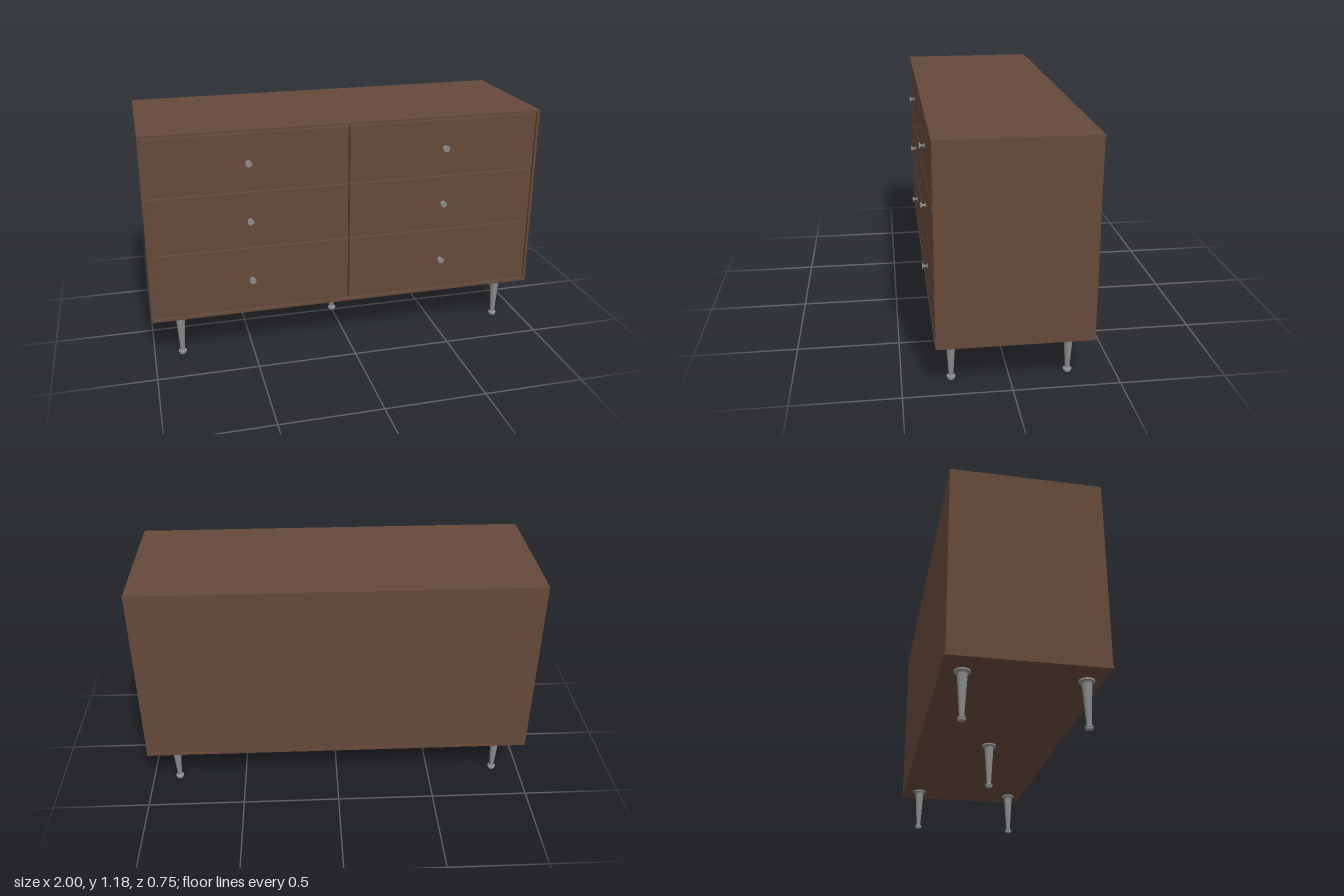
import * as THREE from 'three';

export function createModel() {
  const model = new THREE.Group();
  const wood = new THREE.MeshStandardMaterial({ name: 'walnut brown', color: 0x654a3a });
  const metal = new THREE.MeshStandardMaterial({ name: 'metal grey', color: 0x8a8c8c });

  // Box given by its minimum and maximum corners
  function panel(name, [x0, y0, z0], [x1, y1, z1]) {
    const mesh = new THREE.Mesh(new THREE.BoxGeometry(x1 - x0, y1 - y0, z1 - z0), wood);
    mesh.name = name;
    mesh.position.set((x0 + x1) / 2, (y0 + y1) / 2, (z0 + z1) / 2);
    model.add(mesh);
  }

  // Turned part from [radius, height] pairs; repeated points keep creases sharp
  function turned(points) {
    const pts = [];
    points.forEach(([r, y], i) => {
      pts.push(new THREE.Vector2(r, y));
      if (i > 0 && i < points.length - 1) pts.push(new THREE.Vector2(r, y));
    });
    return new THREE.LatheGeometry(pts, 24);
  }

  // Case
  const bottom = 0.23, top = 1.183, back = -0.375, front = 0.348, t = 0.012;
  panel('topPanel', [-1, top - t, back], [1, top, front]);
  panel('bottomPanel', [-1, bottom, back], [1, bottom + t, front]);
  for (const s of [-1, 1]) {
    const xs = [s, s * (1 - t)].sort((a, b) => a - b);
    panel(s > 0 ? 'leftSide' : 'rightSide',
      [xs[0], bottom + t, back + 0.003], [xs[1], top - t, front - 0.001]);
  }
  panel('backPanel', [-1 + t, bottom + t, back + 0.003], [1 - t, top - t, back + 0.015]);
  // Inner frame seen as the recess behind the drawer gaps
  panel('innerFrame', [-1 + t, bottom + t, back + 0.015], [1 - t, top - t, 0.315]);

  // Drawers with knobs
  const knobGeometry = turned([
    [0.0001, 0], [0.012, 0], [0.012, 0.003], [0.006, 0.006], [0.005, 0.015],
    [0.010, 0.021], [0.016, 0.023], [0.016, 0.027], [0.010, 0.028], [0.0001, 0.026],
  ]);
  knobGeometry.rotateX(Math.PI / 2);
  const rows = [[0.25, 0.578, 0.412], [0.586, 0.87, 0.727], [0.878, 1.165, 1.022]];
  for (const s of [-1, 1]) {
    for (const [y0, y1, knobY] of rows) {
      const xs = [s * 0.005, s * 0.98].sort((a, b) => a - b);
      panel('drawerFront', [xs[0], y0, 0.315], [xs[1], y1, front - 0.001]);
      const knob = new THREE.Mesh(knobGeometry, metal);
      knob.name = 'drawerKnob';
      knob.position.set(s * 0.496, knobY, front - 0.001);
      model.add(knob);
    }
  }

  // Tapered legs: four corners and one in the middle
  const legGeometry = turned([
    [0.0001, 0], [0.017, 0], [0.017, 0.009], [0.021, 0.010], [0.021, 0.014],
    [0.011, 0.020], [0.024, 0.214], [0.027, 0.220], [0.037, 0.222], [0.037, 0.23],
  ]);
  for (const [x, z] of [[-0.86, 0.27], [0.86, 0.27], [-0.86, -0.28], [0.86, -0.28], [0, -0.007]]) {
    const leg = new THREE.Mesh(legGeometry, metal);
    leg.name = 'leg';
    leg.position.set(x, 0, z);
    model.add(leg);
  }
  return model;
}
